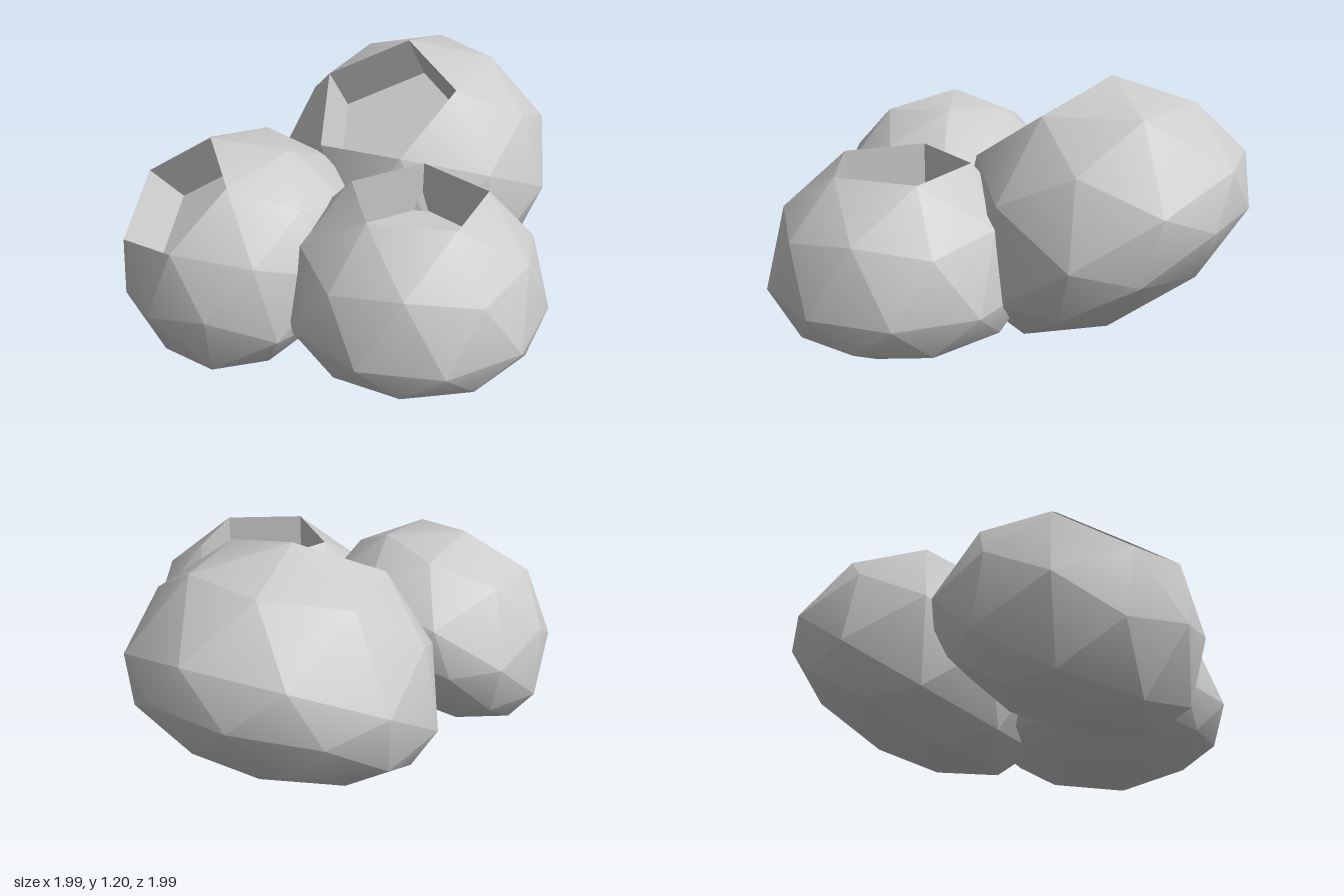
import * as THREE from 'three';
import { toCreasedNormals } from 'three/addons/utils/BufferGeometryUtils.js';

const RIM_R = 0.5257, RIM_Y = 0.8507; // five-sided opening on a unit body
const CUP_DEPTH = 0.39, FLATTEN = 0.55;

// Faceted ball with a flattened underside and its top cap left open
function bodyGeometry() {
  const ball = new THREE.IcosahedronGeometry(1, 1);
  ball.rotateZ(-Math.atan(2 / (1 + Math.sqrt(5)))); // one corner to the top
  const p = ball.attributes.position;
  const out = [];
  for (let i = 0; i < p.count; i += 3) {
    if (Math.max(p.getY(i), p.getY(i + 1), p.getY(i + 2)) > 0.95) continue;
    for (let k = i; k < i + 3; k++) {
      const y = p.getY(k);
      out.push(p.getX(k), y < 0 ? y * FLATTEN : y, p.getZ(k));
    }
  }
  return creased(out);
}

// Straight-walled recess with a flat floor
function cupGeometry() {
  const at = (k, y) => {
    const t = (k * Math.PI * 2) / 5;
    return [RIM_R * Math.cos(t), y, RIM_R * Math.sin(t)];
  };
  const low = RIM_Y - CUP_DEPTH;
  const out = [];
  for (let k = 0; k < 5; k++) {
    const a = at(k, RIM_Y), b = at(k + 1, RIM_Y);
    const c = at(k, low), d = at(k + 1, low);
    out.push(...a, ...c, ...b, ...b, ...c, ...d, 0, low, 0, ...d, ...c);
  }
  return creased(out);
}

function creased(points) {
  const g = new THREE.BufferGeometry();
  g.setAttribute('position', new THREE.Float32BufferAttribute(points, 3));
  return toCreasedNormals(g, Math.PI / 6);
}

export function createModel() {
  const model = new THREE.Group();
  const material = new THREE.MeshStandardMaterial({ color: 0xcccccc });
  const body = bodyGeometry(), cup = cupGeometry();

  // centre, radius, direction of the opening, direction to one rim corner
  const pods = [
    { name: 'frontPod', centre: [0.2, 0.41, 0.44], radius: 0.555, axis: [0, 1, 0], corner: [1, 0, 0] },
    { name: 'rightPod', centre: [-0.46, 0.43, 0.025], radius: 0.56, axis: [-0.609, 0.762, 0.221], corner: [0.205, 0.12, 0.17] },
    { name: 'backPod', centre: [0.4, 0.573, -0.413], radius: 0.64, axis: [-0.409, 0.821, 0.398], corner: [0.163, 0.19, -0.224] },
  ];
  for (const { name, centre, radius, axis, corner } of pods) {
    const pod = new THREE.Group();
    pod.name = name;
    const y = new THREE.Vector3(...axis).normalize();
    const x = new THREE.Vector3(...corner).projectOnPlane(y).normalize();
    const z = new THREE.Vector3().crossVectors(x, y);
    pod.quaternion.setFromRotationMatrix(new THREE.Matrix4().makeBasis(x, y, z));
    pod.position.set(...centre);
    pod.scale.setScalar(radius);
    for (const [part, geometry] of [['body', body], ['cup', cup]]) {
      const mesh = new THREE.Mesh(geometry, material);
      mesh.name = part;
      pod.add(mesh);
    }
    model.add(pod);
  }
  return model;
}
